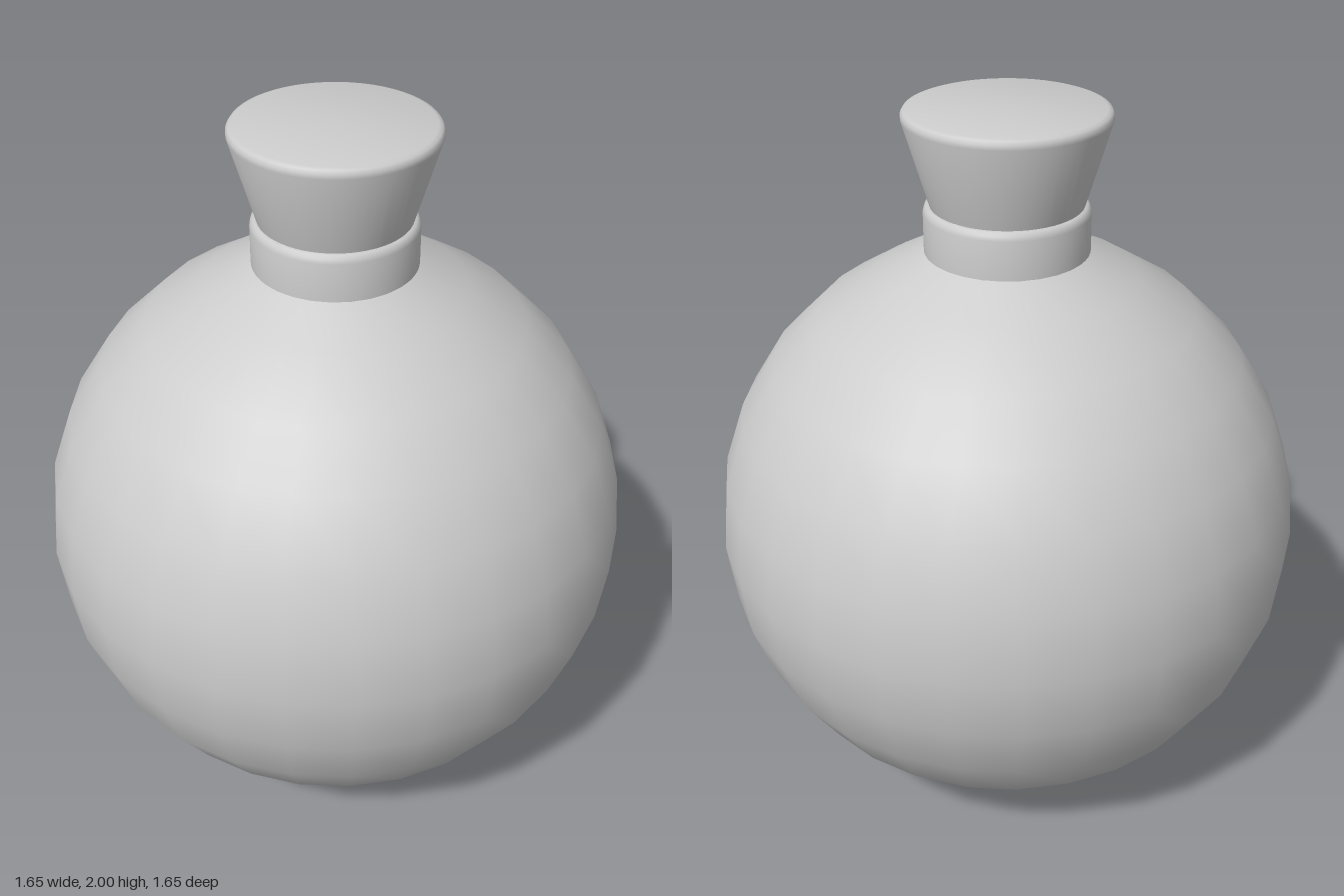
import * as THREE from 'three';
import { toCreasedNormals } from 'three/addons/utils/BufferGeometryUtils.js';

const material = new THREE.MeshStandardMaterial({ color: 0xcccccc, side: THREE.DoubleSide });

// Revolve a profile of [radius, y] pairs, listed from bottom to top
function turned(name, profile, sides) {
  const points = profile.map(([r, y]) => new THREE.Vector2(r, y));
  const geometry = toCreasedNormals(new THREE.LatheGeometry(points, sides), 0.7);
  const mesh = new THREE.Mesh(geometry, material);
  mesh.name = name;
  return mesh;
}

export function createModel() {
  const group = new THREE.Group();
  group.name = 'roundFlask';

  // Round body: a sphere with a flattened base, open at the neck
  const radius = 0.825, sides = 28;
  const step = (Math.PI * 2) / sides;
  const centreY = radius * Math.sin(6 * step);
  const bodyProfile = [[0, 0]];
  for (let i = -6; i <= 5; i++) {
    bodyProfile.push([radius * Math.cos(i * step), centreY + radius * Math.sin(i * step)]);
  }
  bodyProfile.push([0.22, 1.62]);
  group.add(turned('body', bodyProfile, sides));

  // Neck collar with a rounded lip
  group.add(turned('neck', [
    [0.222, 1.615], [0.222, 1.725], [0.219, 1.737], [0.212, 1.745], [0.2, 1.748],
    [0.19, 1.744], [0.185, 1.73], [0.185, 1.615],
  ], 56));

  // Tapered stopper with a softened top edge
  group.add(turned('stopper', [
    [0, 1.66], [0.18, 1.66], [0.205, 1.747], [0.272, 1.975],
    [0.272, 1.987], [0.266, 1.996], [0.255, 2], [0, 2],
  ], 56));

  return group;
}
